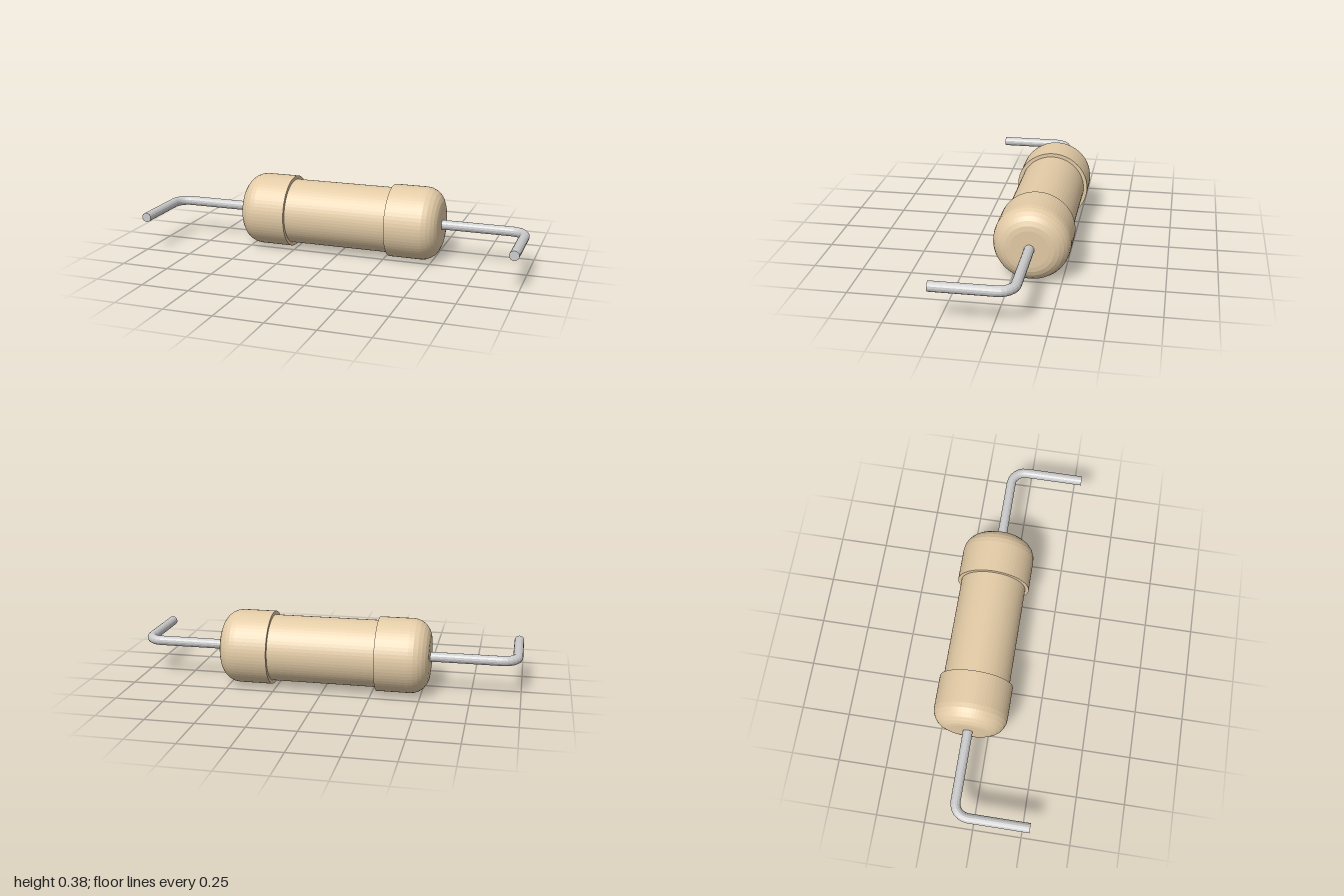
import * as THREE from 'three';

const AXIS_Y = 0.192, AXIS_Z = -0.097; // centre line of the body
const CAP_R = 0.191, BODY_R = 0.172, WIRE_R = 0.025;
const CAP_IN = 0.275, CAP_OUT = 0.54, FILLET = 0.095;
const LEG_X = 0.975, BEND_R = 0.075, LEG_END = 0.385; // leg end measured from the axis

export function createModel() {
  const model = new THREE.Group();
  const ceramic = new THREE.MeshStandardMaterial({ color: 0xe3cba6, flatShading: true });
  const metal = new THREE.MeshStandardMaterial({ color: 0xcccccc, flatShading: true });

  const add = (parent, name, geometry, material) => {
    const mesh = new THREE.Mesh(geometry, material);
    mesh.name = name;
    parent.add(mesh);
  };

  // Central barrel
  const barrel = new THREE.CylinderGeometry(BODY_R, BODY_R, 2 * CAP_IN + 0.02, 64, 1, true);
  add(model, 'barrel', barrel.rotateZ(Math.PI / 2), ceramic);

  // End cap profile: inner lip, straight wall, rounded shoulder, flat end
  const profile = [new THREE.Vector2(BODY_R - 0.005, CAP_IN), new THREE.Vector2(CAP_R, CAP_IN)];
  for (let i = 0; i <= 6; i++) {
    const a = (i / 6) * Math.PI / 2;
    profile.push(new THREE.Vector2(
      CAP_R - FILLET + FILLET * Math.cos(a),
      CAP_OUT - FILLET + FILLET * Math.sin(a)));
  }
  profile.push(new THREE.Vector2(0, CAP_OUT));

  for (const side of [1, -1]) {
    const label = side > 0 ? 'left' : 'right';
    const cap = new THREE.LatheGeometry(profile, 64).rotateZ(-side * Math.PI / 2);
    add(model, label + 'Cap', cap, ceramic);

    // Wire lead: straight run, quarter bend, forward leg
    const lead = new THREE.Group();
    lead.name = label + 'Lead';
    const bendX = LEG_X - BEND_R, start = CAP_OUT - 0.02;
    const run = new THREE.CylinderGeometry(WIRE_R, WIRE_R, bendX - start, 16, 1, true);
    run.rotateZ(Math.PI / 2).translate(side * (start + bendX) / 2, 0, 0);
    add(lead, 'leadRun', run, metal);

    const bend = new THREE.TorusGeometry(BEND_R, WIRE_R, 16, 6, Math.PI / 2);
    if (side < 0) bend.rotateZ(Math.PI / 2);
    bend.rotateX(-Math.PI / 2).translate(side * bendX, 0, BEND_R);
    add(lead, 'leadBend', bend, metal);

    const leg = new THREE.CylinderGeometry(WIRE_R, WIRE_R, LEG_END - BEND_R, 16);
    leg.rotateX(Math.PI / 2).translate(side * LEG_X, 0, (LEG_END + BEND_R) / 2);
    add(lead, 'leadLeg', leg, metal);
    model.add(lead);
  }

  model.position.set(0, AXIS_Y, AXIS_Z);
  const root = new THREE.Group();
  root.name = 'axialComponent';
  model.name = 'bodyAndLeads';
  root.add(model);
  return root;
}
